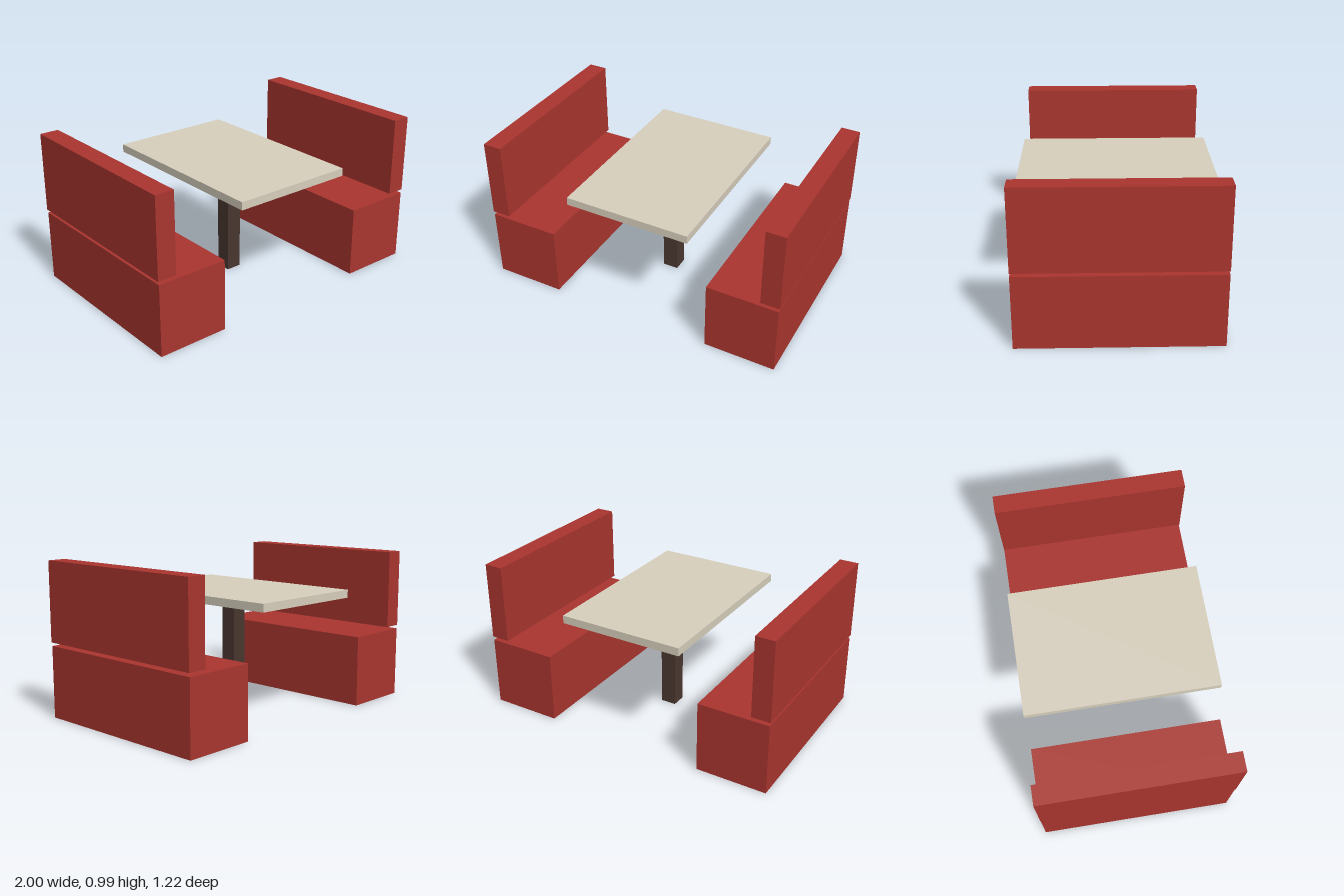
import * as THREE from 'three';

const DEPTH = 1.224;

export function createModel() {
  const model = new THREE.Group();
  model.name = 'diningBooth';

  const red = new THREE.MeshStandardMaterial({ color: 0xaa352f });
  const cream = new THREE.MeshStandardMaterial({ color: 0xd8d0be });
  const brown = new THREE.MeshStandardMaterial({ color: 0x4a3730 });

  // Box placed by its centre in x and its bottom in y
  function addBox(parent, name, material, width, height, depth, x, bottom) {
    const mesh = new THREE.Mesh(new THREE.BoxGeometry(width, height, depth), material);
    mesh.name = name;
    mesh.position.set(x, bottom + height / 2, 0);
    parent.add(mesh);
  }

  // Facing benches: seat block with a backrest floating just above it
  for (const [side, name] of [[1, 'leftBench'], [-1, 'rightBench']]) {
    const bench = new THREE.Group();
    bench.name = name;
    addBox(bench, 'seat', red, 0.459, 0.46, DEPTH, side * 0.765, 0);
    addBox(bench, 'backrest', red, 0.122, 0.51, DEPTH, side * 0.939, 0.483);
    model.add(bench);
  }

  // Table on a single square post
  const table = new THREE.Group();
  table.name = 'table';
  addBox(table, 'tableTop', cream, 0.816, 0.051, DEPTH, 0, 0.735);
  addBox(table, 'tablePost', brown, 0.102, 0.735, 0.102, 0, 0);
  model.add(table);

  return model;
}
